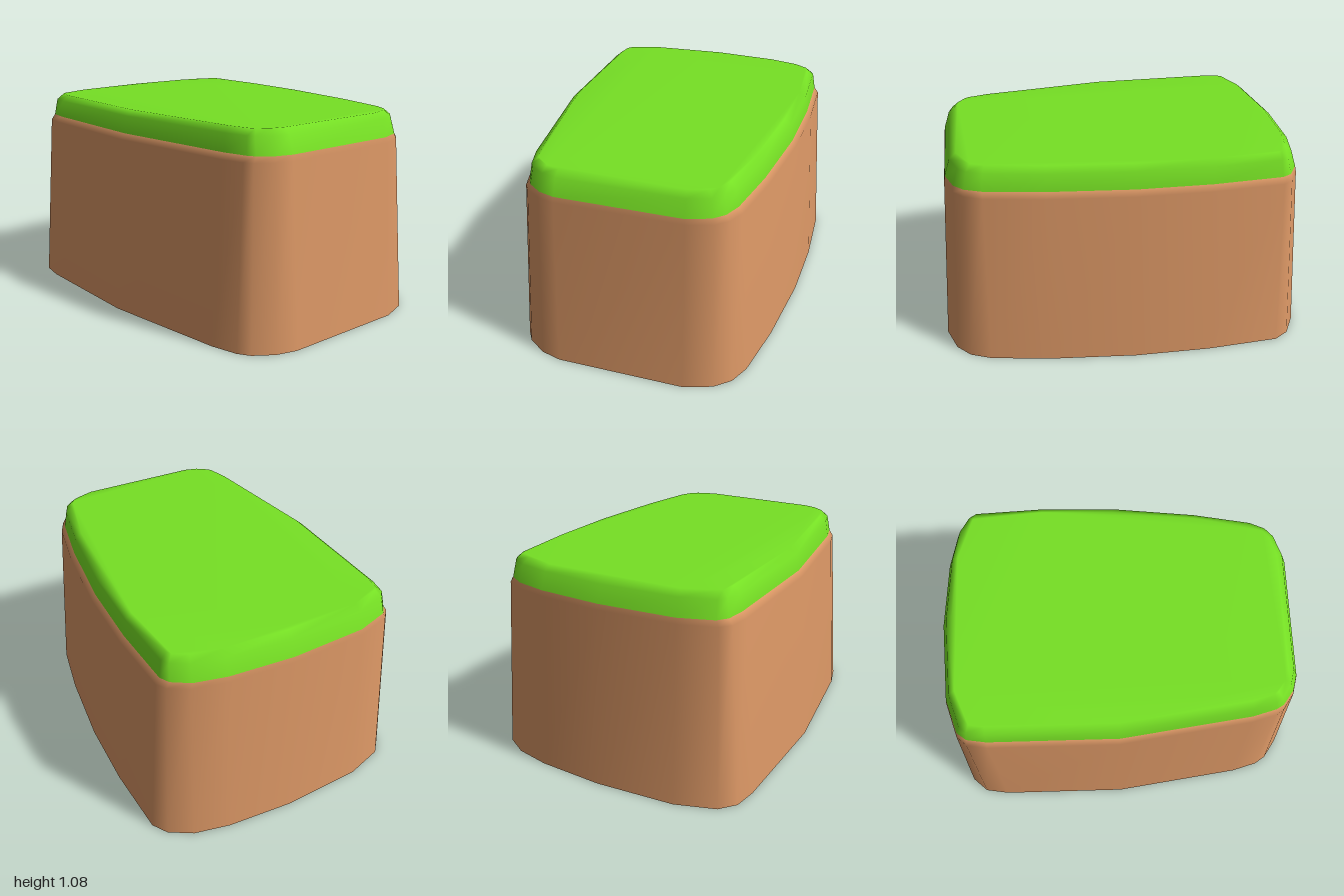
import * as THREE from 'three';

// Ground outline as [x, z]: along the back, down the left side, along the front, up the right side
const OUTLINE = [
  [-0.87, -0.67], [-0.79, -0.72], [-0.4, -0.74], [0, -0.73], [0.45, -0.68], [0.77, -0.62],
  [0.88, -0.57], [0.95, -0.49], [1, -0.34], [1, 0.34], [0.97, 0.45], [0.9, 0.55],
  [0.84, 0.59], [0.7, 0.63], [0, 0.73], [-0.69, 0.73], [-0.82, 0.71], [-0.9, 0.64],
  [-0.97, 0.43], [-1, 0], [-0.98, -0.36], [-0.94, -0.55],
];
const N = OUTLINE.length;

// Outline pushed inwards at a height, by separate amounts along x and z
function ring({ y, insetX, insetZ }) {
  const edgeNormal = (i) => {
    const [ax, az] = OUTLINE[i % N];
    const [bx, bz] = OUTLINE[(i + 1) % N];
    return new THREE.Vector2(bz - az, ax - bx).normalize();
  };
  return OUTLINE.map(([x, z], i) => {
    const before = edgeNormal(i + N - 1);
    const miter = before.clone().add(edgeNormal(i)).normalize();
    miter.divideScalar(miter.dot(before));
    return [x - miter.x * insetX, y, z - miter.y * insetZ];
  });
}

// Smooth skin through a stack of rings, optionally closed on top
function skin(name, levels, color, capped) {
  const rings = levels.map(ring);
  const index = [];
  for (let r = 0; r < rings.length - 1; r++) {
    for (let i = 0; i < N; i++) {
      const a = r * N + i, b = r * N + (i + 1) % N;
      index.push(a, a + N, b, b, a + N, b + N);
    }
  }
  if (capped) {
    const base = (rings.length - 1) * N;
    const points = rings.at(-1).map(([x, , z]) => new THREE.Vector2(x, z));
    for (const [a, b, c] of THREE.ShapeUtils.triangulateShape(points, [])) {
      index.push(base + a, base + c, base + b);
    }
  }
  const geometry = new THREE.BufferGeometry();
  geometry.setAttribute('position', new THREE.Float32BufferAttribute(rings.flat(2), 3));
  geometry.setIndex(index);
  geometry.computeVertexNormals();
  const material = new THREE.MeshStandardMaterial({ color, side: THREE.DoubleSide });
  const mesh = new THREE.Mesh(geometry, material);
  mesh.name = name;
  return mesh;
}

export function createModel() {
  const group = new THREE.Group();
  group.name = 'grassyBlock';
  const seam = { y: 0.96, insetX: 0.07, insetZ: 0.085 };

  // Earth walls, open underneath, with a narrow shoulder at the top
  group.add(skin('earthWalls', [
    { y: 0, insetX: 0, insetZ: 0 },
    { y: 0.93, insetX: 0.065, insetZ: 0.062 },
    seam,
  ], 0xdb9765, false));

  // Grass cap with a bevelled rim
  group.add(skin('grassTop', [
    seam,
    { y: 1.05, insetX: 0.1, insetZ: 0.1 },
    { y: 1.08, insetX: 0.135, insetZ: 0.135 },
  ], 0x76e024, true));

  return group;
}
